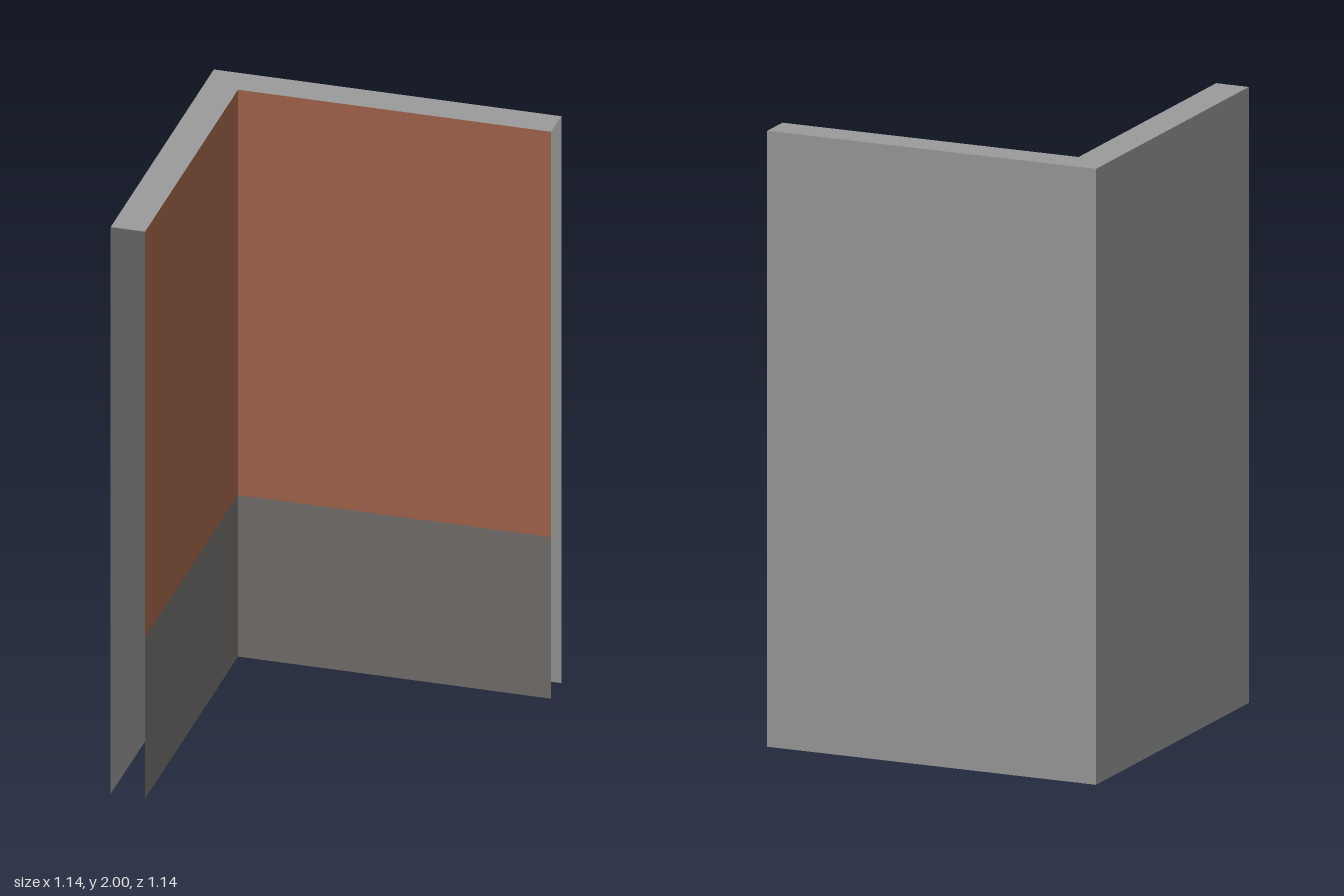
import * as THREE from 'three';

const OUT = 0.57;   // outer wall offset
const IN = 0.457;   // inner wall offset
const TOP = 2, SPLIT = 0.57;

function material(name, color) {
  const m = new THREE.MeshStandardMaterial({ color, side: THREE.DoubleSide });
  m.name = name;
  return m;
}

export function createModel() {
  const group = new THREE.Group();
  group.name = 'cornerWall';
  const concrete = material('concrete grey', 0x9b9b9b);
  const brick = material('brick red', 0xa9684e);
  const plinth = material('plinth grey', 0x777370);

  // Upright sheet at a given offset, either across the back or along the side
  function sheet(name, mat, onSide, offset, y0, y1) {
    const width = OUT + offset;
    const mid = (OUT - offset) / 2;
    const mesh = new THREE.Mesh(new THREE.PlaneGeometry(width, y1 - y0), mat);
    mesh.name = name;
    if (onSide) {
      mesh.rotation.y = Math.PI / 2;
      mesh.position.set(-offset, (y0 + y1) / 2, mid);
    } else {
      mesh.position.set(mid, (y0 + y1) / 2, -offset);
    }
    // Outer sheets face away from the room
    if (offset === OUT) mesh.rotation.y += Math.PI;
    group.add(mesh);
  }

  for (const onSide of [false, true]) {
    const wall = onSide ? 'side' : 'back';
    sheet(wall + 'OuterWall', concrete, onSide, OUT, 0, TOP);
    sheet(wall + 'InnerWall', brick, onSide, IN, SPLIT, TOP);
    sheet(wall + 'InnerPlinth', plinth, onSide, IN, 0, SPLIT);
  }

  // L-shaped cap closing the gap at the top; ends and underside stay open
  const outline = [[-OUT, -OUT], [-IN, -OUT], [-IN, IN], [OUT, IN], [OUT, OUT], [-OUT, OUT]];
  const shape = new THREE.Shape(outline.map(([x, y]) => new THREE.Vector2(x, y)));
  const cap = new THREE.Mesh(new THREE.ShapeGeometry(shape), concrete);
  cap.name = 'topCap';
  cap.rotation.x = -Math.PI / 2;
  cap.position.y = TOP;
  group.add(cap);

  return group;
}
